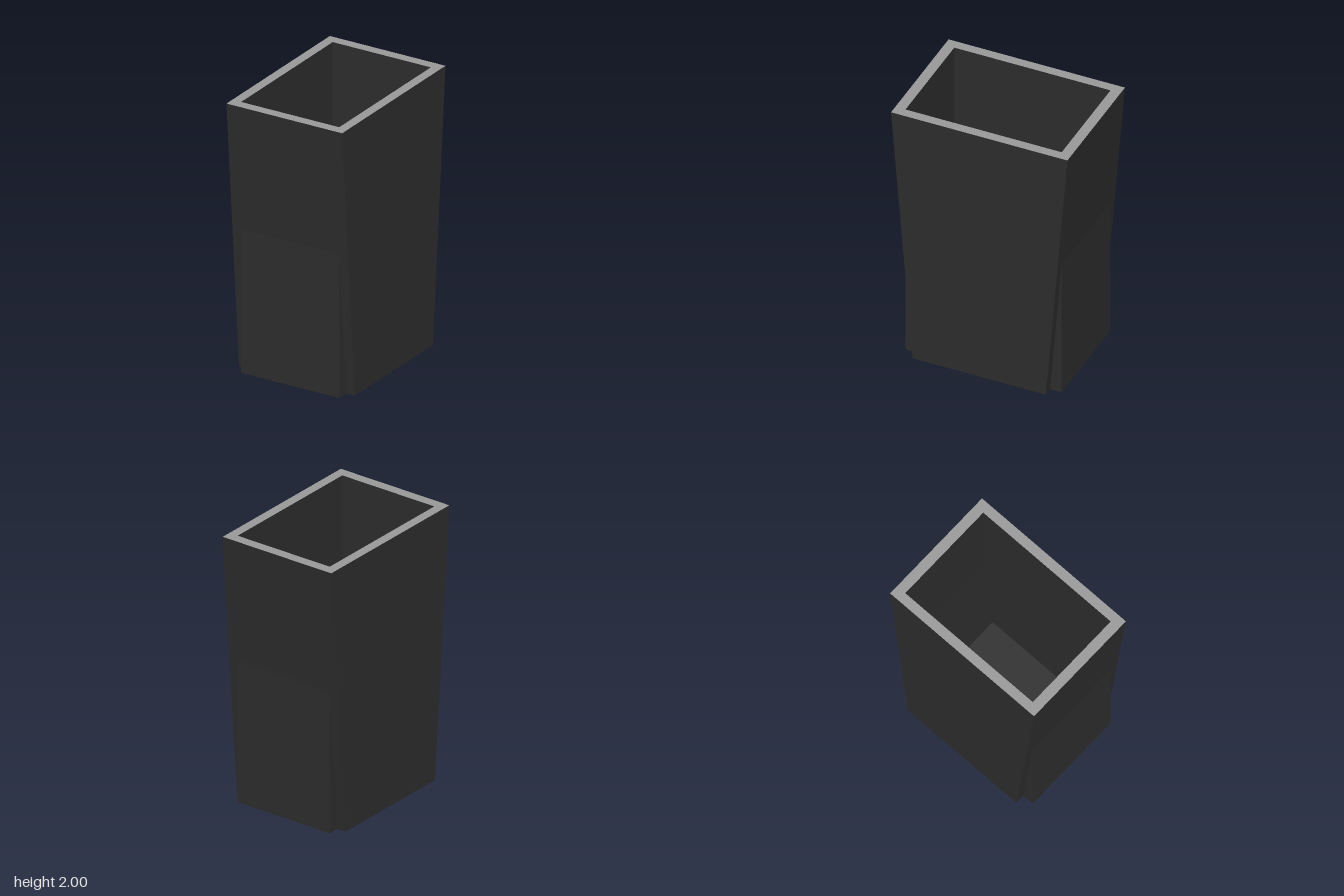
import * as THREE from 'three';

const HEIGHT = 2;
const OUTER_X = 0.46, TOP_Z = 0.655, BOTTOM_Z = 0.495; // half sizes of the tapered shell
const INNER_X = 0.39, INNER_Z = 0.58;                  // half sizes of the straight liner

// Box standing on y = 0 without the listed faces (0 +x, 1 -x, 2 +y, 3 -y, 4 +z, 5 -z)
function openBox(halfX, halfZ, missing) {
  const geo = new THREE.BoxGeometry(halfX * 2, HEIGHT, halfZ * 2);
  geo.translate(0, HEIGHT / 2, 0);
  const index = Array.from(geo.index.array);
  geo.setIndex(index.filter((_, i) => !missing.includes(Math.floor(i / 6))));
  geo.clearGroups();
  return geo;
}

export function createModel() {
  const model = new THREE.Group();
  model.name = 'taperedBin';

  const charcoal = new THREE.MeshStandardMaterial({ color: 0x2d2d2d, side: THREE.DoubleSide });
  charcoal.name = 'charcoal';
  const grey = new THREE.MeshStandardMaterial({ color: 0x999999, side: THREE.DoubleSide });
  grey.name = 'grey';

  const add = (name, geometry, material) => {
    const mesh = new THREE.Mesh(geometry, material);
    mesh.name = name;
    model.add(mesh);
    return mesh;
  };

  // Outer shell: open at the top, front and back lean inwards towards the floor
  const shell = openBox(OUTER_X, TOP_Z, [2]);
  const pos = shell.attributes.position;
  for (let i = 0; i < pos.count; i++) {
    const half = THREE.MathUtils.lerp(BOTTOM_Z, TOP_Z, pos.getY(i) / HEIGHT);
    pos.setZ(i, Math.sign(pos.getZ(i)) * half);
  }
  shell.computeVertexNormals();
  add('shell', shell, charcoal);

  // Straight liner: its lower ends stand out of the leaning front and back
  add('liner', openBox(INNER_X, INNER_Z, [2, 3]), charcoal);

  // Flat rim around the opening
  const rimShape = new THREE.Shape([
    new THREE.Vector2(-OUTER_X, -TOP_Z), new THREE.Vector2(OUTER_X, -TOP_Z),
    new THREE.Vector2(OUTER_X, TOP_Z), new THREE.Vector2(-OUTER_X, TOP_Z),
  ]);
  rimShape.holes.push(new THREE.Path([
    new THREE.Vector2(-INNER_X, -INNER_Z), new THREE.Vector2(-INNER_X, INNER_Z),
    new THREE.Vector2(INNER_X, INNER_Z), new THREE.Vector2(INNER_X, -INNER_Z),
  ]));
  add('rim', new THREE.ShapeGeometry(rimShape).rotateX(-Math.PI / 2), grey).position.y = HEIGHT;

  // Undersides of the protruding liner ends
  for (const [name, side] of [['frontFoot', 1], ['backFoot', -1]]) {
    const foot = new THREE.PlaneGeometry(INNER_X * 2, INNER_Z - BOTTOM_Z).rotateX(Math.PI / 2);
    add(name, foot, grey).position.z = side * (INNER_Z + BOTTOM_Z) / 2;
  }

  return model;
}
